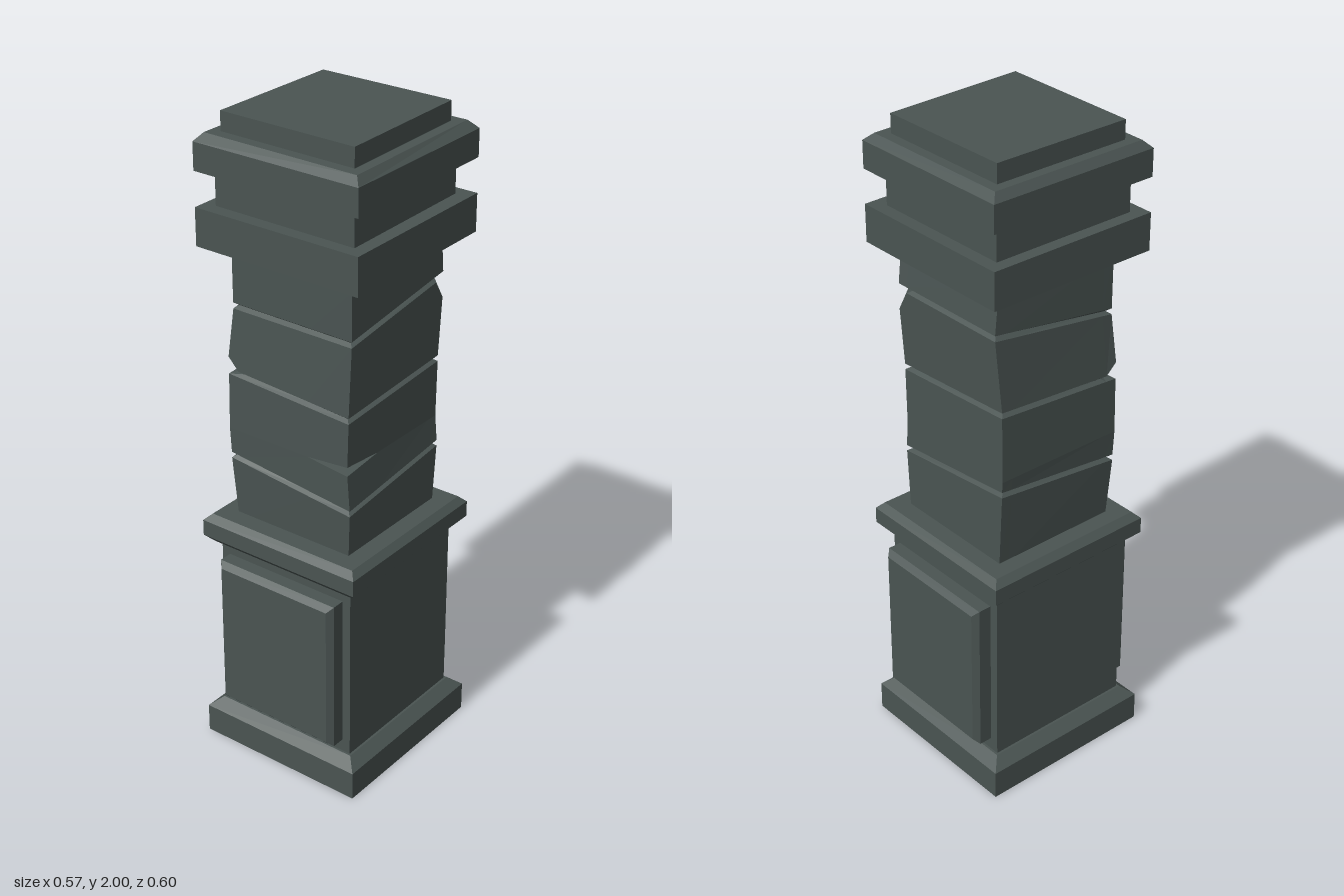
import * as THREE from 'three';

const stone = new THREE.MeshStandardMaterial({ color: 0x4a5452 });
stone.name = 'dark stone';

// Skin a stack of rings (each a loop of Vector3, counter-clockwise from above) and cap both ends.
function loft(rings) {
  const pos = [];
  const tri = (a, b, c) => {
    const area = b.clone().sub(a).cross(c.clone().sub(a)).length();
    if (area > 1e-8) pos.push(...a.toArray(), ...b.toArray(), ...c.toArray());
  };
  const n = rings[0].length;
  for (let r = 0; r < rings.length - 1; r++) {
    const lo = rings[r], hi = rings[r + 1];
    for (let i = 0; i < n; i++) {
      const j = (i + 1) % n;
      tri(lo[i], lo[j], hi[j]);
      tri(lo[i], hi[j], hi[i]);
    }
  }
  const cap = (ring, up) => {
    const c = ring.reduce((s, p) => s.add(p), new THREE.Vector3()).divideScalar(n);
    ring.forEach((p, i) => {
      const q = ring[(i + 1) % n];
      up ? tri(c, p, q) : tri(c, q, p);
    });
  };
  cap(rings[0], false);
  cap(rings[rings.length - 1], true);
  const geo = new THREE.BufferGeometry();
  geo.setAttribute('position', new THREE.Float32BufferAttribute(pos, 3));
  geo.computeVertexNormals();
  return geo;
}

// Four corners: front -x, front +x, back +x, back -x. y is a number or one height per corner.
// "push" moves the front +x corner outwards for the slightly skewed top.
function quad(x0, x1, z0, z1, y, push = 0) {
  const h = Array.isArray(y) ? y : [y, y, y, y];
  return [
    new THREE.Vector3(x0, h[0], z1),
    new THREE.Vector3(x1 + push, h[1], z1 + push * 0.5),
    new THREE.Vector3(x1, h[2], z0),
    new THREE.Vector3(x0, h[3], z0),
  ];
}

// Split every corner into three points so single corners can be chipped or notched.
const SPLIT = [0.035, 0.14, 0.035, 0.035];
function shaftRing(ext, y, { inset = 0, corner = -1, pull = 0, lift = 0 } = {}) {
  const [x0, x1, z0, z1] = ext;
  const c = quad(x0 + inset, x1 - inset, z0 + inset, z1 - inset, y);
  const out = [];
  c.forEach((p, i) => {
    const toward = (q) => p.clone().lerp(q, SPLIT[i] / p.distanceTo(q));
    const tip = p.clone();
    if (i === corner) {
      tip.x -= Math.sign(p.x) * pull;
      tip.z -= Math.sign(p.z) * pull;
      tip.y += lift;
    }
    out.push(toward(c[(i + 3) % 4]), tip, toward(c[(i + 1) % 4]));
  });
  return out;
}

export function createModel() {
  const group = new THREE.Group();
  const add = (name, geo) => {
    const mesh = new THREE.Mesh(geo, stone);
    mesh.name = name;
    group.add(mesh);
    return mesh;
  };

  // Plinth and pedestal
  add('plinth', loft([
    quad(-0.285, 0.272, -0.285, 0.285, 0),
    quad(-0.285, 0.272, -0.285, 0.285, 0.09),
    quad(-0.25, 0.237, -0.25, 0.25, 0.12),
  ]));
  add('pedestal', loft([
    quad(-0.243, 0.23, -0.243, 0.243, 0.11),
    quad(-0.243, 0.23, -0.243, 0.243, 0.69),
  ]));
  add('pedestalCap', loft([
    quad(-0.26, 0.247, -0.258, 0.258, 0.682),
    quad(-0.283, 0.268, -0.28, 0.28, 0.705),
    quad(-0.283, 0.268, -0.28, 0.28, 0.755),
    quad(-0.262, 0.249, -0.26, 0.26, 0.775),
  ]));

  // Raised panels, front and back
  for (const side of [1, -1]) {
    const geo = loft([
      quad(-0.215, 0.203, -0.243, 0.243, 0.23),
      quad(-0.215, 0.203, -0.243, 0.243, 0.284),
      quad(-0.199, 0.187, -0.226, 0.226, 0.301),
    ]);
    geo.rotateX(side * Math.PI / 2);
    geo.translate(0, 0.403, 0);
    add(side > 0 ? 'frontPanel' : 'backPanel', geo);
  }

  // Crooked shaft with slanted grooves, chipped corners and one notch
  const rings = [shaftRing([-0.21, 0.193, -0.205, 0.203], 0.765)];
  const groove = (ext, heights, chip = {}) => {
    const at = (d) => heights.map((h) => h + d);
    const { corner = -1, low = 0, high = 0, pull = 0 } = chip;
    rings.push(
      shaftRing(ext, at(-0.009), { corner, lift: low }),
      shaftRing(ext, at(0), { inset: 0.013, corner, pull }),
      shaftRing(ext, at(0.009), { corner, lift: high }),
    );
  };
  groove([-0.222, 0.204, -0.205, 0.213], [0.965, 0.918, 0.965, 1.01]);
  const mid = [-0.225, 0.197, -0.205, 0.215];
  rings.push(
    shaftRing(mid, 1.053, { corner: 1, lift: -0.016 }),
    shaftRing(mid, 1.053, { corner: 1, pull: 0.065 }),
    shaftRing(mid, 1.053, { corner: 1, lift: 0.012 }),
  );
  groove([-0.223, 0.2, -0.205, 0.214], [1.235, 1.208, 1.238, 1.265],
    { corner: 0, high: 0.035, pull: 0.016 });
  groove([-0.208, 0.203, -0.216, 0.205], [1.437, 1.434, 1.495, 1.498],
    { corner: 2, low: -0.06, pull: 0.012 });
  const tilt = [1.602, 1.58, 1.602, 1.62];
  rings.push(shaftRing([-0.206, 0.206, -0.202, 0.208], tilt.map((h) => h + 0.01)));
  add('shaft', loft(rings));

  // Capital: lower band with tilted underside, neck, upper band, top slab
  add('lowerCapitalBand', loft([
    quad(-0.21, 0.206, -0.206, 0.209, tilt),
    quad(-0.27, 0.271, -0.27, 0.279, 1.622, 0.011),
    quad(-0.27, 0.271, -0.27, 0.279, 1.735, 0.011),
  ]));
  add('capitalNeck', loft([
    quad(-0.232, 0.226, -0.23, 0.237, 1.73, 0.014),
    quad(-0.232, 0.226, -0.23, 0.237, 1.845, 0.014),
  ]));
  add('upperCapitalBand', loft([
    quad(-0.27, 0.271, -0.27, 0.279, 1.838, 0.011),
    quad(-0.27, 0.271, -0.27, 0.279, 1.92, 0.011),
    quad(-0.25, 0.244, -0.25, 0.255, 1.943, 0.018),
  ]));
  add('topSlab', loft([
    quad(-0.22, 0.213, -0.218, 0.222, 1.935, 0.016),
    quad(-0.22, 0.213, -0.218, 0.222, 2, 0.016),
  ]));

  return group;
}
